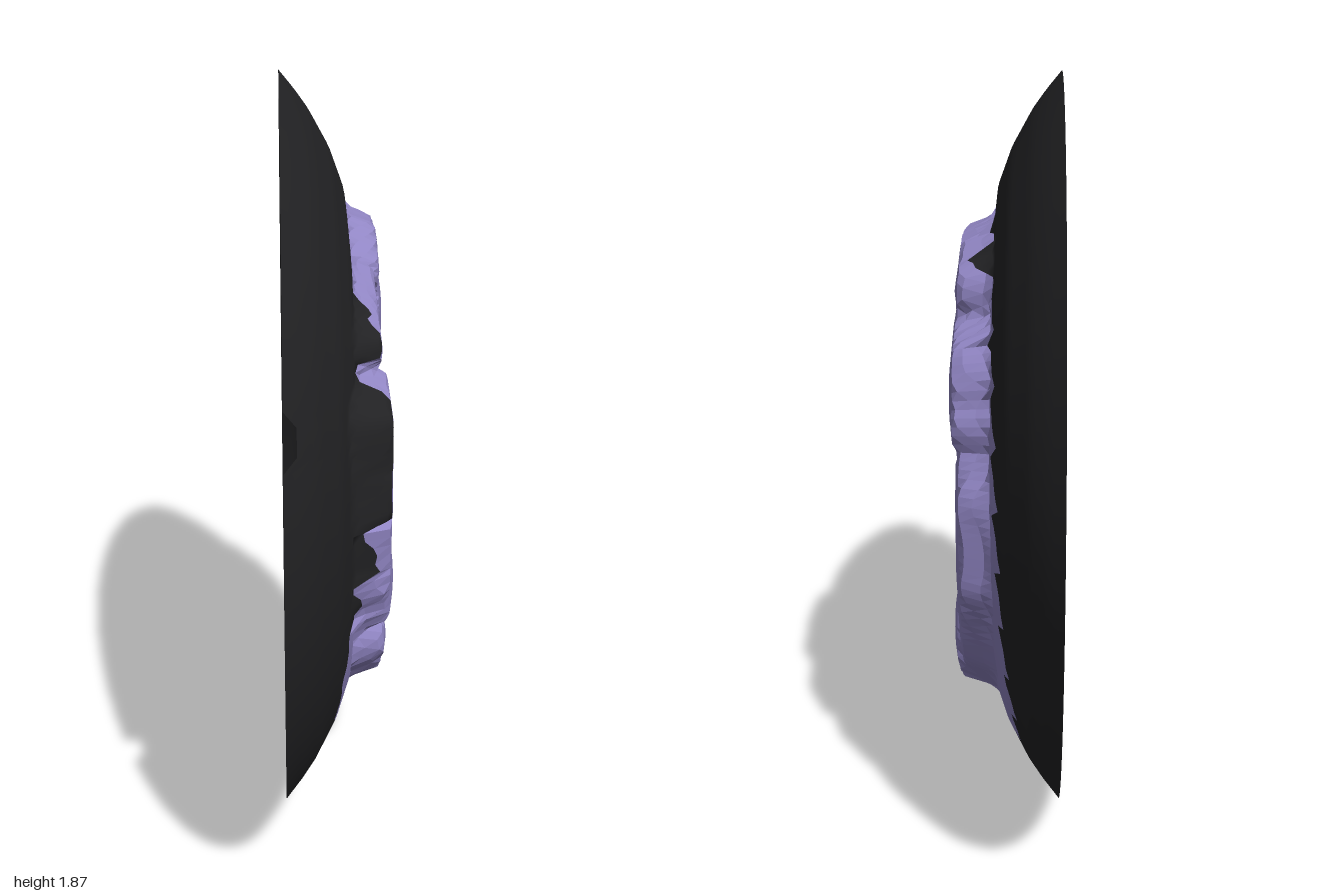
import * as THREE from 'three';

const TAU = Math.PI * 2, COLS = 192, RY = 0.935;
const { lerp, smoothstep, clamp } = THREE.MathUtils;

// Dome section: [fraction of radius, x]
const SECTION = [[0, 0.03], [0.6, 0.034], [0.7, 0.024], [0.8, -0.01], [0.9, -0.062], [0.95, -0.096], [1, -0.135]];

// Edge of the coloured centre, as fractions of the radius around the disc
const EDGE = [0.68, 0.67, 0.63, 0.61, 0.66, 0.66, 0.68, 0.7, 0.73, 0.77, 0.84, 0.87, 0.86, 0.85, 0.79, 0.71];

// Raised ridges: height and points of [z, y, radius]
const RIDGES = [
  { top: 0.125, path: [[0.03, 1.21, 0.1], [-0.02, 1.26, 0.14], [-0.18, 1.26, 0.15], [-0.34, 1.2, 0.15], [-0.47, 1.17, 0.13], [-0.54, 1.1, 0.08]] },
  { top: 0.11, path: [[-0.5, 1.1, 0.08], [-0.54, 0.92, 0.12], [-0.52, 0.76, 0.13], [-0.42, 0.58, 0.13], [-0.25, 0.47, 0.13]] },
  { top: 0.13, path: [[0.26, 0.46, 0.08], [0.12, 0.43, 0.14], [0, 0.42, 0.17], [-0.15, 0.46, 0.17], [-0.25, 0.49, 0.14]] },
  { top: 0.12, path: [[0.51, 0.74, 0.13], [0.42, 0.69, 0.1]] },
  { top: 0.115, path: [[0.62, 0.76, 0.05], [0.65, 0.95, 0.05], [0.63, 1.14, 0.06], [0.5, 1.19, 0.05]] },
  { top: 0.1, path: [[0.36, 1.02, 0.04], [0.35, 1.14, 0.05], [0.25, 1.15, 0.04]] },
  { top: 0.1, path: [[0.5, 1.28, 0.05], [0.36, 1.33, 0.05], [0.22, 1.38, 0.05]] },
  { top: 0.12, path: [[0.08, 1.38, 0.06], [-0.02, 1.44, 0.06], [-0.18, 1.44, 0.06], [-0.36, 1.37, 0.08]] },
];

// Hollows: [z, y, radius, depth]
const HOLLOWS = [[0, 0.86, 0.4, 0.03], [0, 0.82, 0.24, 0.045], [-0.25, 1.34, 0.09, 0.08],
  [0.4, 0.8, 0.08, 0.04], [-0.52, 1.06, 0.06, 0.03]];

function sectionX(s) {
  const i = Math.max(1, SECTION.findIndex(([end]) => s <= end + 1e-6));
  const [s0, x0] = SECTION[i - 1], [s1, x1] = SECTION[i];
  return lerp(x0, x1, (s - s0) / (s1 - s0));
}

// Signed distance from a point to a tapered ridge
function ridgeDistance(path, z, y) {
  let best = 9;
  for (let i = 1; i < path.length; i++) {
    const [az, ay, ar] = path[i - 1], [bz, by, br] = path[i];
    const dz = bz - az, dy = by - ay;
    const t = clamp(((z - az) * dz + (y - ay) * dy) / (dz * dz + dy * dy), 0, 1);
    best = Math.min(best, Math.hypot(z - az - dz * t, y - ay - dy * t) - lerp(ar, br, t));
  }
  return best;
}

// Depth of the whole shell at one point
function surfaceX(s, z, y) {
  const base = sectionX(s);
  let x = base;
  for (const { top, path } of RIDGES) {
    const d = ridgeDistance(path, z, y);
    const crown = top - 0.012 * smoothstep(d, -0.1, 0);
    x = Math.max(x, lerp(crown, base, smoothstep(d, -0.02, 0.02)));
  }
  for (const [hz, hy, r, depth] of HOLLOWS) {
    x -= depth * (1 - smoothstep(Math.hypot(z - hz, y - hy), r * 0.1, r));
  }
  // small ledge across the central hollow
  return x + 0.03 * (1 - smoothstep(Math.hypot(z * 0.4, y - 0.87), 0.01, 0.06));
}

function edgeAt(j) {
  const f = j / COLS * EDGE.length, i = Math.floor(f);
  return lerp(EDGE[i], EDGE[(i + 1) % EDGE.length], f - i);
}

// Saw teeth along the colour edge
const toothAt = (j) => 0.05 * ((j % 6) / 5 - 0.5) * (0.6 + 0.4 * Math.sin(j));

// Rim outline with a small chip
function rimAt(j) {
  const y = Math.sin(j / COLS * TAU);
  return j < COLS / 4 && y > 0.24 && y < 0.34 ? 0.965 : 1;
}

// Rings of the shell between two outlines; only the ring on the colour edge is toothed
function shell(name, inner, outer, rings, toothedRing, color, flatShading) {
  const pos = [], index = [];
  for (let i = 0; i <= rings; i++) {
    for (let j = 0; j < COLS; j++) {
      const a = j / COLS * TAU;
      const fade = Math.max(0, 1 - Math.abs(i - toothedRing) / 3);
      const s = lerp(inner(j), outer(j), i / rings) + toothAt(j) * fade;
      const z = s * Math.cos(a), y = RY + RY * s * Math.sin(a);
      pos.push(surfaceX(s, z, y), y, z);
    }
  }
  for (let i = 0; i < rings; i++) {
    for (let j = 0; j < COLS; j++) {
      const k = (j + 1) % COLS;
      const a = i * COLS + j, b = i * COLS + k, c = a + COLS, d = b + COLS;
      index.push(a, b, c, b, d, c);
    }
  }
  const geometry = new THREE.BufferGeometry();
  geometry.setAttribute('position', new THREE.Float32BufferAttribute(pos, 3));
  geometry.setIndex(index);
  geometry.computeVertexNormals();
  const material = new THREE.MeshStandardMaterial({ color, flatShading, side: THREE.DoubleSide });
  const mesh = new THREE.Mesh(geometry, material);
  mesh.name = name;
  return mesh;
}

export function createModel() {
  const group = new THREE.Group();
  group.name = 'reliefDisc';
  group.add(shell('darkRim', edgeAt, rimAt, 18, 0, 0x222224, false));
  group.add(shell('sculptedCentre', () => 0.001, edgeAt, 40, 40, 0x9186c4, true));
  return group;
}
